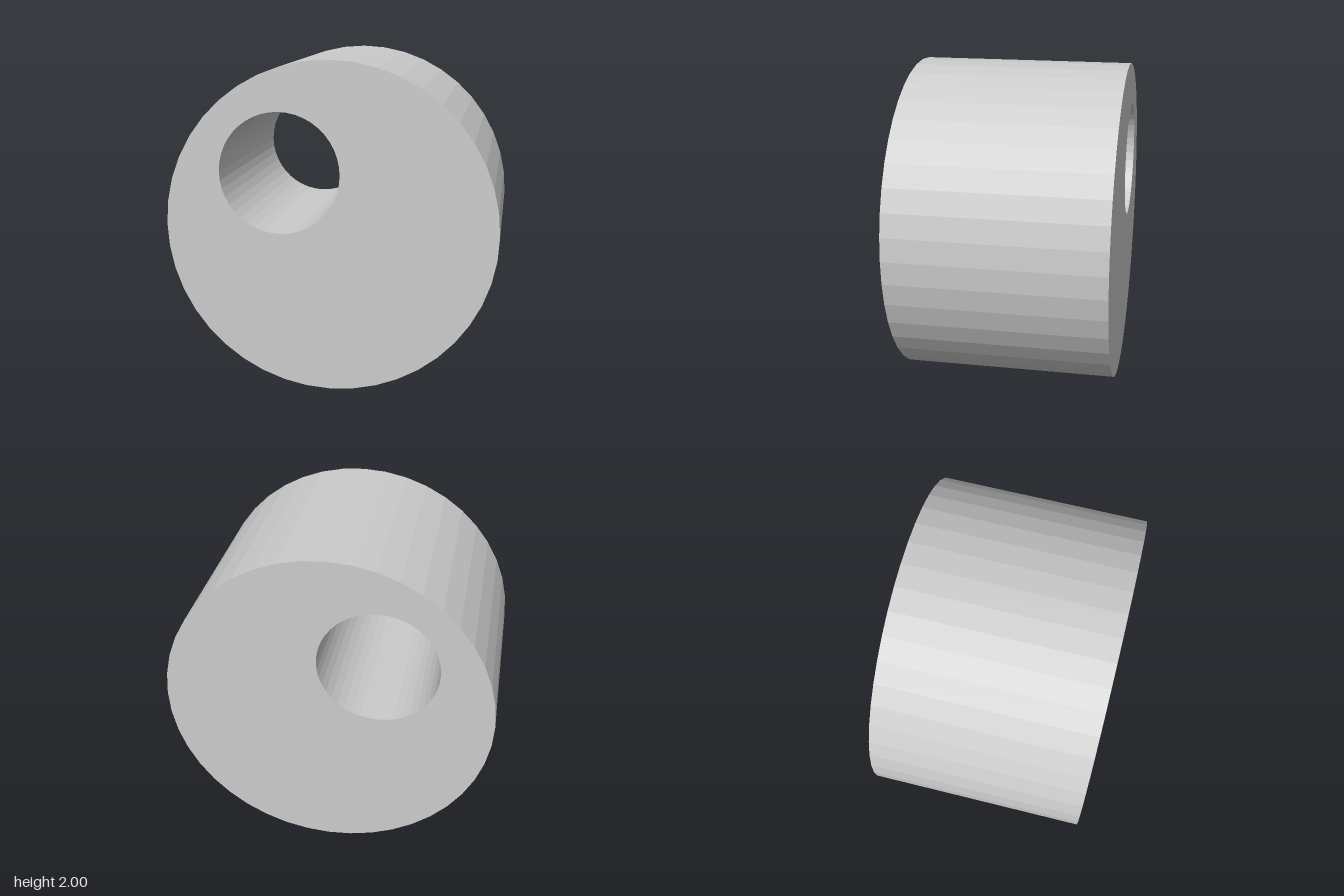
import * as THREE from 'three';

const RADIUS = 1, DEPTH = 1.31;
const BORE = { x: -0.3, y: 1.33, radius: 0.365 };

export function createModel() {
  const group = new THREE.Group();
  group.name = 'eccentricCylinder';

  // Round outline with an off-centre hole
  const outline = new THREE.Shape();
  outline.absarc(0, RADIUS, RADIUS, 0, Math.PI * 2, false);
  const bore = new THREE.Path();
  bore.absarc(BORE.x, BORE.y, BORE.radius, 0, Math.PI * 2, true);
  outline.holes.push(bore);

  // Faceted drum, bored right through from front to back
  const geometry = new THREE.ExtrudeGeometry(outline, {
    depth: DEPTH, bevelEnabled: false, curveSegments: 22,
  });
  geometry.translate(0, 0, -DEPTH / 2);

  const drum = new THREE.Mesh(
    geometry,
    new THREE.MeshStandardMaterial({ color: 0xcccccc, flatShading: true }),
  );
  drum.name = 'boredDrum';
  group.add(drum);
  return group;
}
